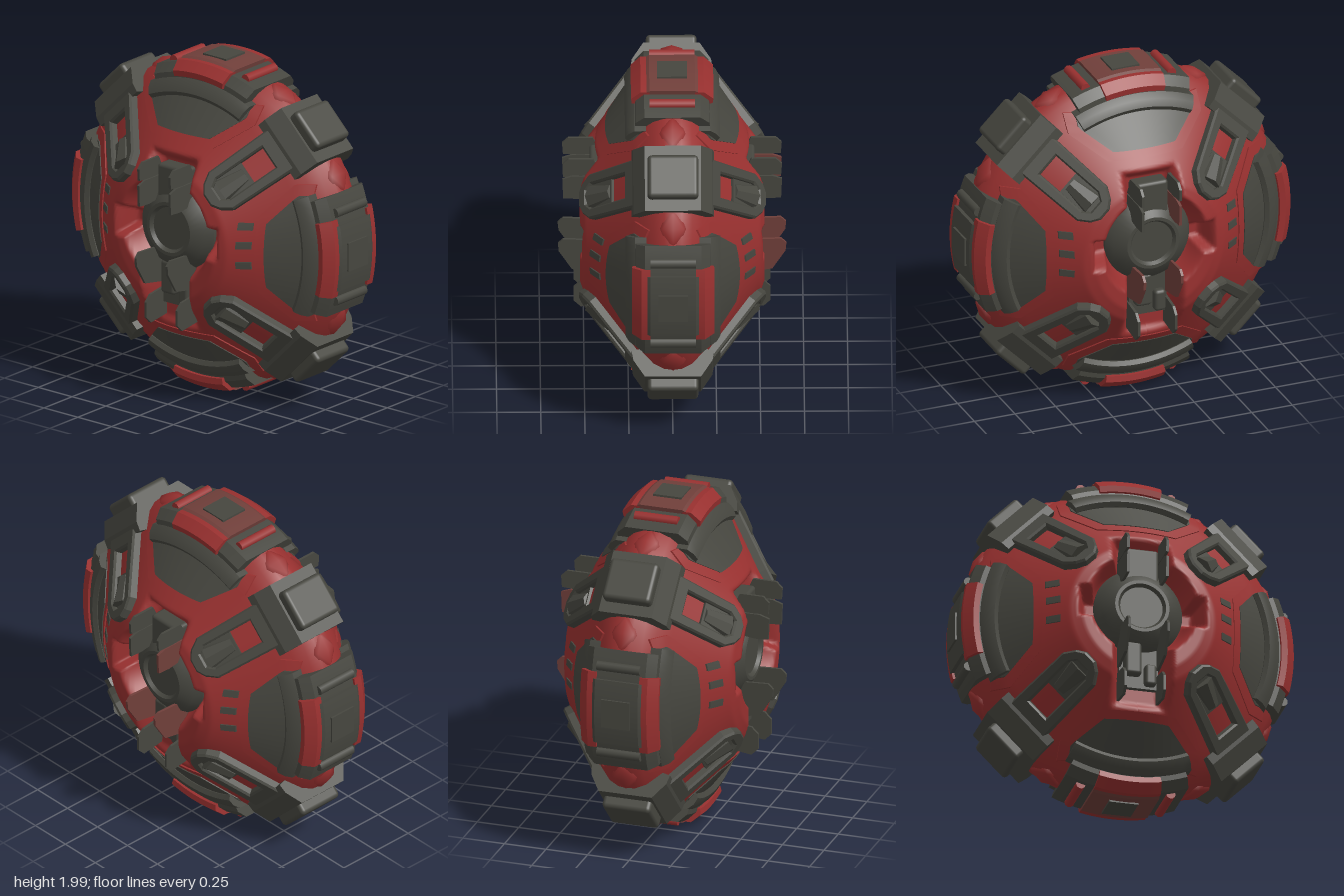
import * as THREE from 'three';
import { toCreasedNormals } from 'three/addons/utils/BufferGeometryUtils.js';
import { RoundedBoxGeometry } from 'three/addons/geometries/RoundedBoxGeometry.js';

const mat = (name, color) => new THREE.MeshStandardMaterial({ name, color });

// Height of the shell face above the mid plane at radius r
const PROFILE = [[0, 0.52], [0.36, 0.525], [0.43, 0.5], [0.58, 0.385], [0.83, 0.195], [0.92, 0.11], [0.95, 0.05], [0.955, 0]];
function surf(r) {
  for (let i = 1; i < PROFILE.length; i++) {
    const [r0, z0] = PROFILE[i - 1], [r1, z1] = PROFILE[i];
    if (r <= r1) return z0 + (z1 - z0) * (r - r0) / (r1 - r0);
  }
  return 0;
}

const polygon = pts => new THREE.Shape(pts.map(p => new THREE.Vector2(p[0], p[1])));
const mirrorZ = pts => [...pts, ...pts.map(([r, z]) => [r, -z]).reverse()];

// Sweep a closed (radius, z) profile through +-half radians about the z axis
function sector(pts, half, steps = 16) {
  const g = new THREE.ExtrudeGeometry(polygon(pts), { depth: 1, steps, bevelEnabled: false });
  const p = g.attributes.position;
  for (let i = 0; i < p.count; i++) {
    const r = p.getX(i), z = p.getY(i), a = (1 - 2 * p.getZ(i)) * half;
    p.setXYZ(i, r * Math.cos(a), r * Math.sin(a), z);
  }
  return toCreasedNormals(g, 0.5);
}

// Thin plate draped on the shell from x0 to x1, with half width given by x; its rim is sunk in
function drape(x0, x1, y0, halfWidth, lift, n = 14) {
  const g = new THREE.PlaneGeometry(2, 2, n, n);
  const p = g.attributes.position, k = n / (n - 2);
  for (let i = 0; i < p.count; i++) {
    const u = p.getX(i) * k, v = p.getY(i) * k;
    const rim = Math.max(Math.abs(u), Math.abs(v)) > 1.01;
    const x = x0 + (x1 - x0) * (THREE.MathUtils.clamp(u, -1, 1) + 1) / 2;
    const y = y0 + THREE.MathUtils.clamp(v, -1, 1) * halfWidth(x);
    p.setXYZ(i, x, y, surf(Math.hypot(x, y)) + (rim ? -0.01 : lift));
  }
  return toCreasedNormals(g, 0.5);
}

// Prism from an outline in the x-y plane, centred in depth
function prism(pts, depth) {
  return new THREE.ExtrudeGeometry(polygon(pts), { depth, bevelEnabled: false }).translate(0, 0, -depth / 2);
}

// Disc shell with a soft hub recess and vertical slot pressed into both faces
function shellGeometry() {
  const front = [];
  for (let r = 0; r < 0.59; r += 0.0125) front.push([r, surf(r)]);
  for (let r = 0.62; r < 0.9; r += 0.04) front.push([r, surf(r)]);
  front.push([0.92, 0.11], [0.95, 0.05]);
  const pts = [...front.map(([r, z]) => [r, -z]), [0.955, 0], ...front.slice().reverse()];
  const g = new THREE.LatheGeometry(pts.map(([r, z]) => new THREE.Vector2(r, z)), 192);
  g.rotateX(Math.PI / 2);
  const p = g.attributes.position;
  for (let i = 0; i < p.count; i++) {
    const x = p.getX(i), y = p.getY(i), z = p.getZ(i);
    const d = Math.min(
      Math.hypot(x, y - 0.06) - 0.25,
      Math.max(Math.abs(x) - 0.11, Math.abs(y + 0.03) - 0.47),
      Math.max(Math.abs(x) - 0.31, Math.abs(y - 0.05) - 0.03));
    const k = 1 - THREE.MathUtils.smoothstep(d, 0, 0.075);
    const floor = Math.min(Math.abs(z), 0.38);
    p.setZ(i, Math.sign(z) * (Math.abs(z) * (1 - k) + floor * k));
  }
  g.computeVertexNormals();
  return g;
}

export function createModel() {
  const red = mat('red shell', 0x98302f);
  const dark = mat('dark armour', 0x46463f);
  const brown = mat('worn red', 0x703f3a);

  const model = new THREE.Group();
  model.name = 'roundPod';
  const core = new THREE.Group();
  core.name = 'core';
  core.position.y = 0.995;
  model.add(core);

  const add = (parent, name, geo, m, x = 0, y = 0, z = 0) => {
    const mesh = new THREE.Mesh(geo, m);
    mesh.name = name;
    mesh.position.set(x, y, z);
    parent.add(mesh);
    return mesh;
  };
  const group = (parent, name) => {
    const g = new THREE.Group();
    g.name = name;
    parent.add(g);
    return g;
  };

  add(core, 'shell', shellGeometry(), red);

  // Rim caps at the top, bottom and both sides
  const bandGeo = sector(mirrorZ([[0.83, 0.15], [0.86, 0.215], [0.91, 0.21], [0.96, 0.16]]), 0.385);
  const ridgeGeo = sector([[0.775, 0.2], [0.785, 0.255], [0.81, 0.27], [0.85, 0.25], [0.88, 0.215], [0.88, 0.15]], 0.425);
  const cheekProfile = [[0.88, 0.13], [0.89, 0.23], [0.925, 0.235], [0.975, 0.18], [0.975, 0.13]];
  const capGeo = sector(mirrorZ([[0.88, 0.155], [0.97, 0.155], [0.985, 0.13]]), 0.2);
  const railGeo = new THREE.CylinderGeometry(0.028, 0.028, 0.26, 10).rotateX(Math.PI / 2);
  for (let k = 0; k < 4; k++) {
    const vertical = k % 2 === 1;
    const pod = group(core, 'rimCap');
    pod.rotation.z = k * Math.PI / 2;
    add(pod, 'capBand', bandGeo, dark);
    const cheekGeo = sector(cheekProfile, vertical ? 0.2 : 0.24);
    for (const flip of [0, Math.PI]) {
      add(pod, 'capRidge', ridgeGeo, dark).rotation.x = flip;
      add(pod, 'cheek', cheekGeo, red).rotation.x = flip;
    }
    add(pod, 'capCentre', capGeo, vertical ? brown : dark);
    add(pod, 'capPlate', new THREE.BoxGeometry(0.05, 0.17, 0.17), dark, 0.968);
    for (const s of [-1, 1]) add(pod, 'rail', railGeo, vertical ? red : dark, 0.925, s * 0.265, 0);
  }

  // Diagonal rim blocks with a raised pad
  const blockGeo = prism(mirrorZ([[0.81, 0.17], [0.825, 0.235], [0.88, 0.225], [0.975, 0.16]]), 0.38).rotateX(Math.PI / 2);
  const padGeo = new RoundedBoxGeometry(0.12, 0.25, 0.29, 3, 0.025);
  const peakGeo = new THREE.OctahedronGeometry(1, 1);
  for (let k = 0; k < 4; k++) {
    const corner = group(core, 'rimBlock');
    corner.rotation.z = Math.PI / 4 + k * Math.PI / 2;
    add(corner, 'block', blockGeo, dark);
    add(corner, 'pad', padGeo, dark, 0.98);
    // Red peaks on the rim between blocks and caps
    for (const s of [-1, 1]) {
      const peak = group(corner, 'rimPeak');
      peak.rotation.z = s * 0.3;
      add(peak, 'peak', peakGeo, red, 0.92).scale.set(0.06, 0.12, 0.085);
    }
  }

  // Rounded arm frame with an open slot, its inner half filled by a barrel
  const arm = polygon([[0.03, -0.08], [0.09, -0.12], [0.53, -0.13], [0.53, 0.13], [0.09, 0.12], [0.03, 0.08], [0, 0.035], [0, -0.035]]);
  arm.holes.push(new THREE.Path([[0.05, -0.045], [0.1, -0.08], [0.43, -0.08], [0.43, 0.08], [0.1, 0.08], [0.05, 0.045]]
    .map(p => new THREE.Vector2(...p))));
  const armGeo = new THREE.ExtrudeGeometry(arm, { depth: 0.045, bevelSize: 0.01, bevelThickness: 0.012, bevelSegments: 1 });
  const barrelGeo = toCreasedNormals(new THREE.CylinderGeometry(0.05, 0.08, 0.17, 8).rotateZ(-Math.PI / 2), 0.4);
  const slotBaseGeo = new THREE.BoxGeometry(0.24, 0.17, 0.04);

  const hubGeo = toCreasedNormals(new THREE.LatheGeometry(
    [[0.26, 0.3], [0.26, 0.4], [0.23, 0.45], [0.16, 0.495], [0.14, 0.495], [0.125, 0.475], [0, 0.475]]
      .map(p => new THREE.Vector2(...p)), 40).rotateX(Math.PI / 2), 0.5);

  // Tapered panels on the four sides of each face
  const taper = (x0, w0, w1) => x => Math.min(w1, w0 + (x - x0) * 1.3);
  const frameGeo = drape(0.565, 0.8, 0, taper(0.565, 0.23, 0.41), 0.012);
  const panelGeo = drape(0.61, 0.8, 0, taper(0.61, 0.19, 0.35), 0.02);

  // Fin outlines as (z, y) pairs
  const fins = [
    [[0.4, 0.36], [0.52, 0.355], [0.62, 0.36], [0.625, 0.43], [0.59, 0.465], [0.45, 0.465]],
    [[0.4, 0.22], [0.54, 0.2], [0.62, 0.205], [0.625, 0.33], [0.57, 0.35], [0.4, 0.35]],
    [[0.4, -0.08], [0.62, -0.07], [0.65, -0.1], [0.645, -0.15], [0.57, -0.27], [0.4, -0.3]],
    [[0.38, -0.33], [0.52, -0.35], [0.56, -0.39], [0.56, -0.48], [0.52, -0.52], [0.38, -0.5]],
  ];

  // The two faces carry the same fittings
  for (const side of [0, 1]) {
    const face = group(core, side ? 'backFace' : 'frontFace');
    face.rotation.y = side * Math.PI;
    add(face, 'hub', hubGeo, dark, 0, 0.06, 0);

    // Slot fittings
    add(face, 'upperColumn', new RoundedBoxGeometry(0.21, 0.26, 0.12, 2, 0.02), dark, 0, 0.3, 0.41);
    add(face, 'slotFloor', new THREE.BoxGeometry(0.23, 0.3, 0.05), dark, 0, -0.27, 0.385);
    add(face, 'lowerColumn', new RoundedBoxGeometry(0.1, 0.2, 0.1, 2, 0.02), dark, -0.04, -0.25, 0.41);
    add(face, 'lowerBlock', new RoundedBoxGeometry(0.07, 0.13, 0.1, 2, 0.02), dark, 0.065, -0.34, 0.4);

    for (const s of [-1, 1]) {
      fins.forEach((pts, i) => add(face, 'fin', prism(pts, 0.016).rotateY(-Math.PI / 2),
        side && (i === 2 || (i === 1 && s > 0)) ? brown : dark, s * 0.115));
      // Vent marks, turned half round for the other side
      const vents = group(face, 'vents');
      vents.rotation.z = s > 0 ? 0 : Math.PI;
      for (const y of [0.17, 0.06, -0.06]) add(vents, 'vent', drape(0.475, 0.545, s * y, () => 0.021, 0.009, 6), dark);
    }

    for (let k = 0; k < 4; k++) {
      const quarter = group(face, 'panelSection');
      quarter.rotation.z = k * Math.PI / 2;
      add(quarter, 'panelFrame', frameGeo, red);
      add(quarter, 'panel', panelGeo, dark);

      const diagonal = group(face, 'armSection');
      diagonal.rotation.z = Math.PI / 4 + k * Math.PI / 2;
      const tilt = group(diagonal, 'arm');
      tilt.position.set(0.43, 0, 0.495);
      tilt.rotation.y = 0.65;
      add(tilt, 'armFrame', armGeo, dark, 0, 0, -0.01);
      add(tilt, 'slotBase', slotBaseGeo, dark, 0.15, 0, 0);
      add(tilt, 'barrel', barrelGeo, dark, 0.17, 0, -0.01);
    }
  }
  return model;
}
